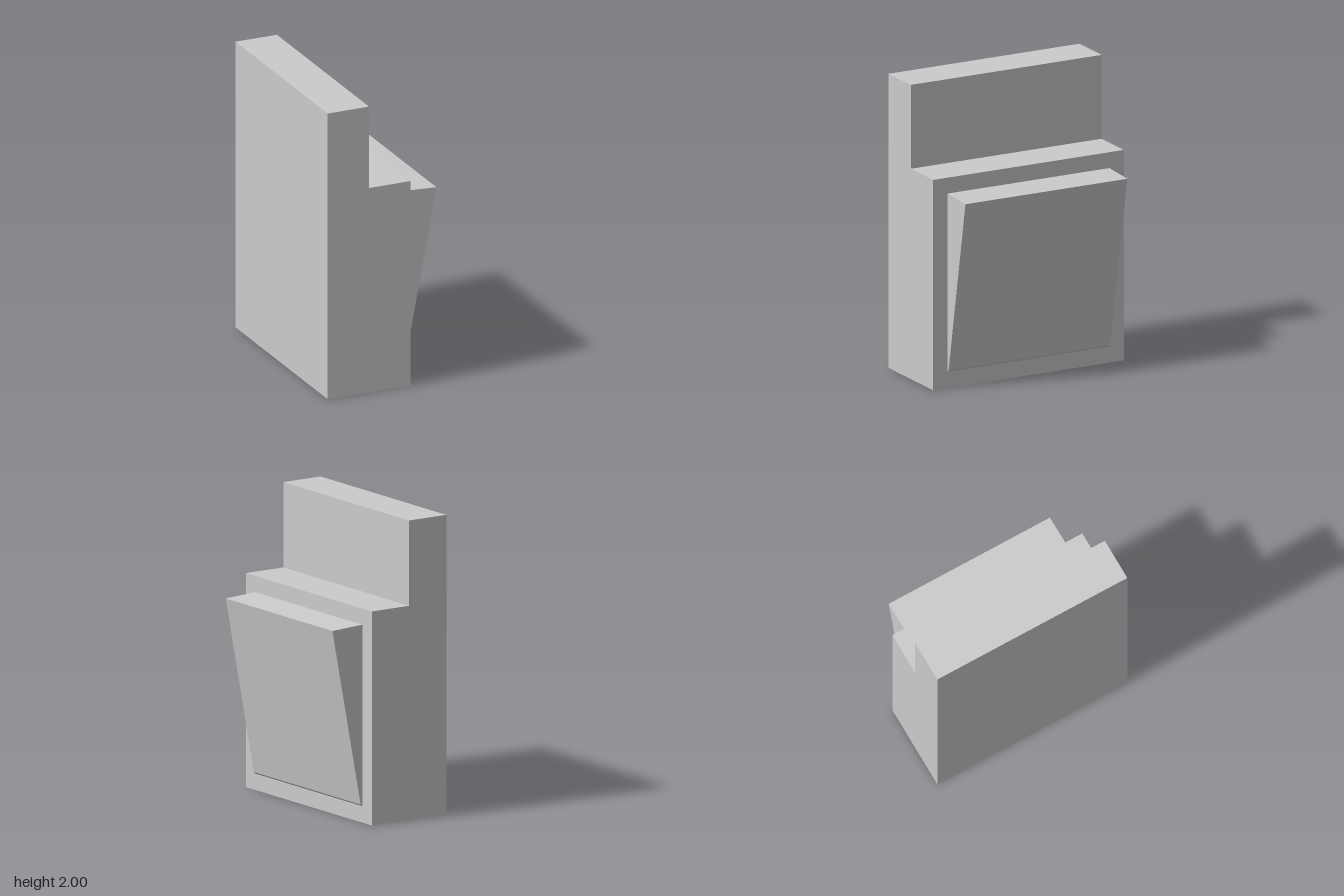
import * as THREE from 'three';

const material = new THREE.MeshStandardMaterial({ color: 0xcccccc, flatShading: true });

// Extrudes an x-y profile along z, centred on z = 0
function slab(name, points, width) {
  const shape = new THREE.Shape(points.map(([x, y]) => new THREE.Vector2(x, y)));
  const geometry = new THREE.ExtrudeGeometry(shape, { depth: width, bevelEnabled: false });
  geometry.translate(0, 0, -width / 2);
  const mesh = new THREE.Mesh(geometry, material);
  mesh.name = name;
  return mesh;
}

export function createModel() {
  const group = new THREE.Group();
  group.name = 'steppedCabinet';

  // Stepped body: full-height back with a lower ledge
  group.add(slab('body', [
    [-0.417, 0], [0.177, 0], [0.177, 1.43], [-0.12, 1.43], [-0.12, 2], [-0.417, 2],
  ], 1.426));

  // Wedge flap, tilted outward at the top with a thin lower lip
  group.add(slab('tiltedFlap', [
    [0.177, 0.11], [0.19, 0.122], [0.415, 1.31], [0.177, 1.322],
  ], 1.21));

  return group;
}
